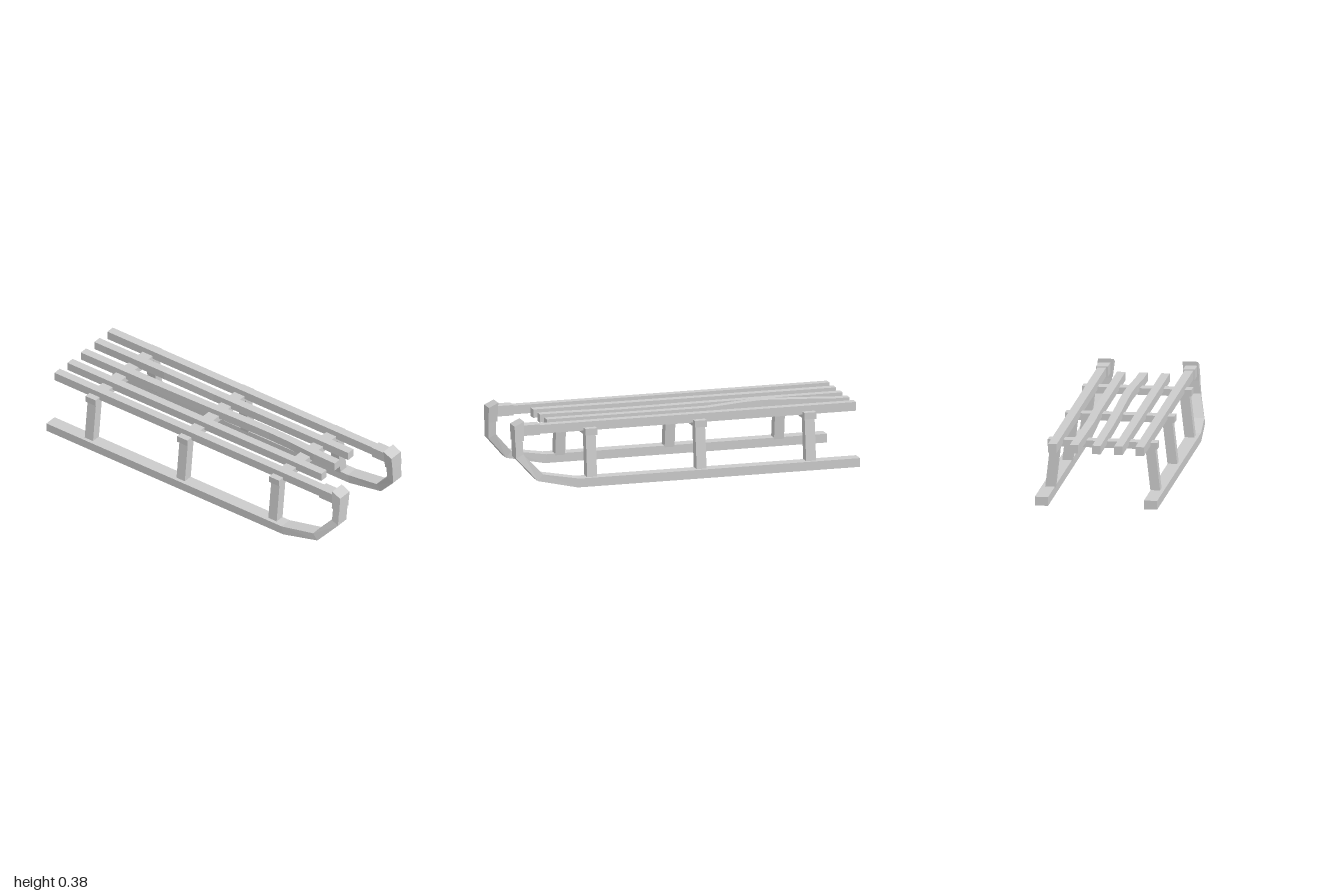
import * as THREE from 'three';

const material = new THREE.MeshStandardMaterial({ color: 0xcccccc, flatShading: true });

// Closed solid through a row of four-cornered sections, each counter-clockwise seen from the end side
function loft(sections) {
  const pos = [];
  const quad = (a, b, c, d) => pos.push(...a, ...b, ...c, ...a, ...c, ...d);
  for (let i = 0; i < sections.length - 1; i++) {
    const p = sections[i], q = sections[i + 1];
    for (let j = 0; j < 4; j++) {
      const k = (j + 1) % 4;
      quad(p[j], p[k], q[k], q[j]);
    }
  }
  quad(...[...sections[0]].reverse());
  quad(...sections[sections.length - 1]);
  const geometry = new THREE.BufferGeometry();
  geometry.setAttribute('position', new THREE.Float32BufferAttribute(pos, 3));
  geometry.computeVertexNormals();
  return geometry;
}

// Section given by an x range and two (z, y) edges, mirrored by side
function section(side, xa, xb, [z0, y0], [z1, y1]) {
  const [l, r] = [side * xa, side * xb].sort((a, b) => a - b);
  return [[l, y0, z0], [r, y0, z0], [r, y1, z1], [l, y1, z1]];
}

export function createModel() {
  const model = new THREE.Group();
  const add = (name, geometry, parent = model) => {
    const mesh = new THREE.Mesh(geometry, material);
    mesh.name = name;
    parent.add(mesh);
    return mesh;
  };
  const box = (name, x, y, z, w, h, d, parent) =>
    add(name, new THREE.BoxGeometry(w, h, d), parent).position.set(x, y, z);

  const beamZ = [-0.72, -0.08, 0.56];

  for (const side of [1, -1]) {
    const half = new THREE.Group();
    half.name = side > 0 ? 'leftSide' : 'rightSide';
    model.add(half);

    // Runner, bending up and inward at the front: x range, outer edge, inner edge
    add('runner', loft([
      section(side, 0.27, 0.345, [-1, 0], [-1, 0.05]),
      section(side, 0.27, 0.345, [0.65, 0], [0.64, 0.05]),
      section(side, 0.256, 0.333, [0.88, 0.05], [0.85, 0.086]),
      section(side, 0.217, 0.295, [0.995, 0.178], [0.953, 0.2]),
      section(side, 0.208, 0.287, [0.997, 0.28], [0.955, 0.28]),
      section(side, 0.2, 0.28, [0.995, 0.35], [0.955, 0.35]),
    ]), half);

    // Cap on the runner tip with a sloping top
    add('runnerCap', loft([
      section(side, 0.206, 0.289, [1, 0.27], [0.947, 0.275]),
      section(side, 0.194, 0.282, [1, 0.358], [0.945, 0.384]),
    ]), half);

    // Outer seat rail and the collar joining it to the cap
    box('sideRail', side * 0.246, 0.33, -0.025, 0.049, 0.05, 1.95, half);
    box('railCollar', side * 0.245, 0.331, 0.9, 0.066, 0.06, 0.1, half);

    // Leaning posts
    for (const z of beamZ) {
      add('post', loft([
        section(side, 0.27, 0.325, [z + 0.029, 0.04], [z - 0.029, 0.04]),
        section(side, 0.24, 0.295, [z + 0.029, 0.3], [z - 0.029, 0.3]),
      ]), half);
    }
  }

  // Cross beams
  for (const z of beamZ) box('crossBeam', 0, 0.304, z, 0.618, 0.038, 0.07);

  // Inner slats as centre points: z, x, lift
  const slat = (name, points) => add(name, loft(points.map(([z, x, lift]) =>
    section(1, x - 0.024, x + 0.024, [z, 0.306 + lift], [z, 0.354 + lift]))));
  slat('rightSlat', [[-1, -0.126, 0], [0.77, -0.126, 0]]);
  slat('middleSlat', [
    [-1, -0.002, 0], [-0.5, 0, 0], [-0.15, 0.006, 0], [0.1, 0.013, 0],
    [0.3, 0.016, 0], [0.45, 0.012, 0], [0.62, 0.001, 0], [0.77, -0.002, 0],
  ]);
  slat('leftSlat', [
    [-1, 0.124, 0], [-0.92, 0.124, 0], [-0.72, 0.115, 0.009], [-0.5, 0.107, 0.017],
    [-0.38, 0.111, 0.013], [-0.17, 0.123, 0], [0.77, 0.124, 0],
  ]);

  return model;
}
